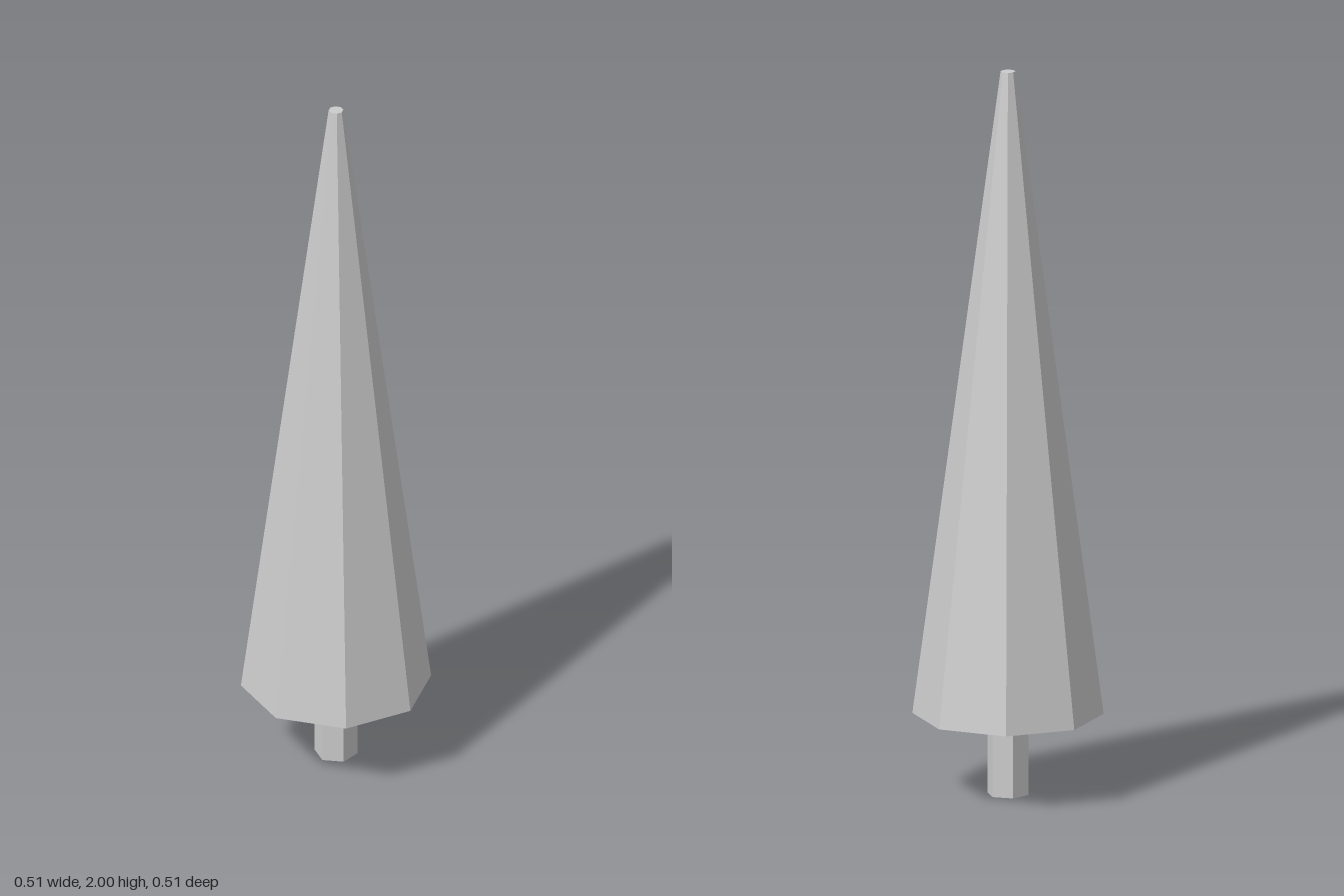
import * as THREE from 'three';

const grey = new THREE.MeshStandardMaterial({ color: 0xcccccc, flatShading: true });
grey.name = 'light grey';

// Upright tapered prism between two heights, first corner on the z axis
function prism(name, topRadius, bottomRadius, y0, y1, sides) {
  const geometry = new THREE.CylinderGeometry(topRadius, bottomRadius, y1 - y0, sides);
  geometry.translate(0, (y0 + y1) / 2, 0);
  const mesh = new THREE.Mesh(geometry, grey);
  mesh.name = name;
  return mesh;
}

export function createModel() {
  const tree = new THREE.Group();
  tree.name = 'tree';
  // Short six-sided trunk
  tree.add(prism('trunk', 0.058, 0.058, 0, 0.222, 6));
  // Tall eight-sided foliage with a blunt tip
  tree.add(prism('foliage', 0.02, 0.257, 0.222, 2, 8));
  return tree;
}
